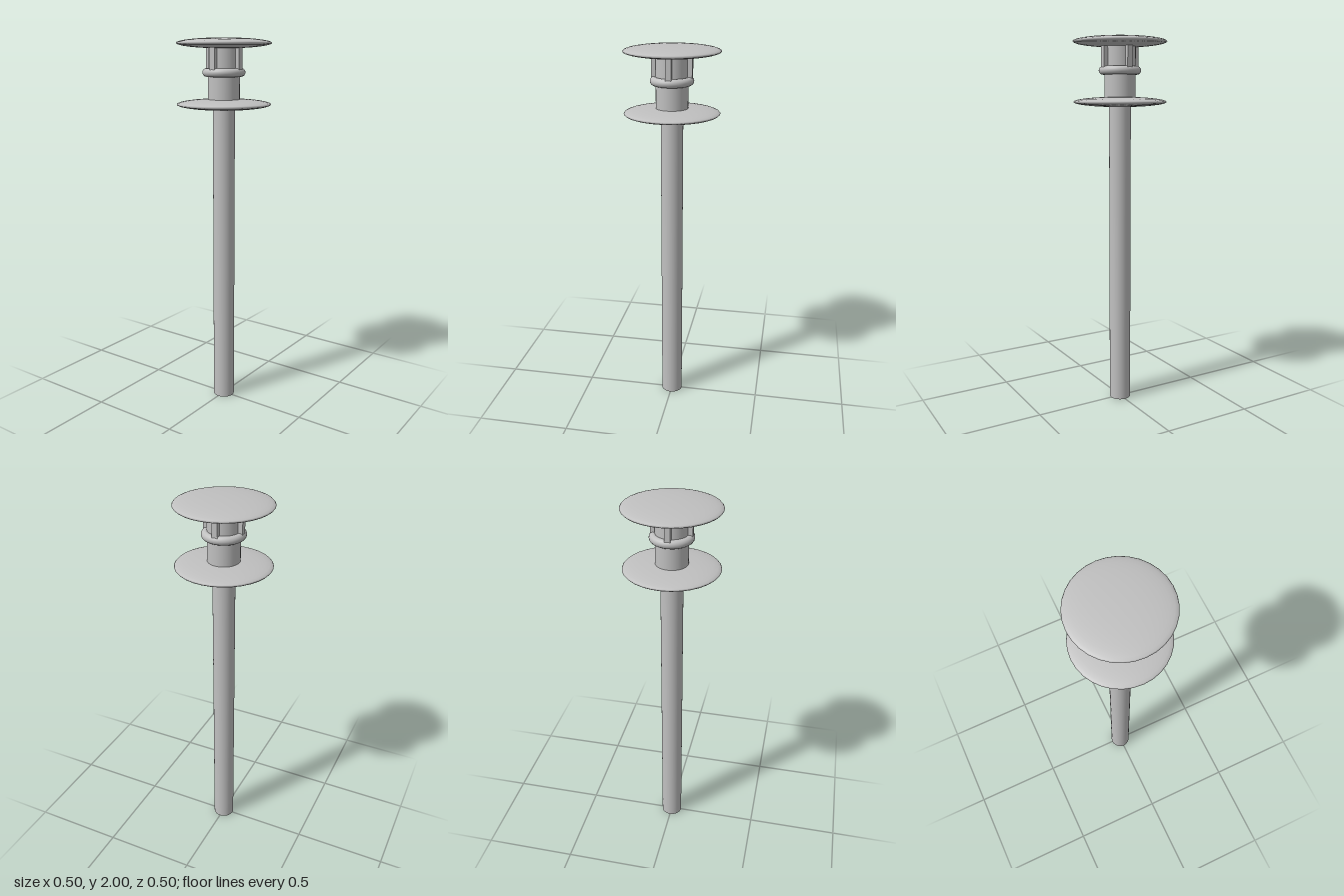
import * as THREE from 'three';

export function createModel() {
  const model = new THREE.Group();
  const steel = new THREE.MeshStandardMaterial({ color: 0xc0c0c0 });
  steel.name = 'grey steel';

  function add(name, geometry, y, parent = model) {
    const mesh = new THREE.Mesh(geometry, steel);
    mesh.name = name;
    mesh.position.y = y;
    parent.add(mesh);
    return mesh;
  }

  // Long pole and the wider collar drum above it
  add('pole', new THREE.CylinderGeometry(0.058, 0.058, 1.66, 32), 0.83);
  add('drum', new THREE.CylinderGeometry(0.083, 0.083, 0.3, 32), 1.815);

  // Two lens-shaped discs
  for (const [name, y] of [['lowerDisc', 1.662], ['upperDisc', 1.973]]) {
    const lens = new THREE.SphereGeometry(0.248, 32, 16);
    lens.scale(1, 0.027 / 0.248, 1);
    add(name, lens, y);
  }

  // Rounded ring around the drum
  const ring = new THREE.TorusGeometry(0.09, 0.022, 16, 40);
  ring.rotateX(Math.PI / 2);
  add('ring', ring, 1.825);

  // Four upright ribs between the ring and the upper disc
  const ribs = new THREE.Group();
  ribs.name = 'ribs';
  model.add(ribs);
  for (let i = 0; i < 4; i++) {
    const rib = new THREE.BoxGeometry(0.03, 0.14, 0.04);
    rib.translate(0, 0, 0.085);
    add('rib', rib, 1.89, ribs).rotation.y = (i * Math.PI) / 2;
  }

  return model;
}
